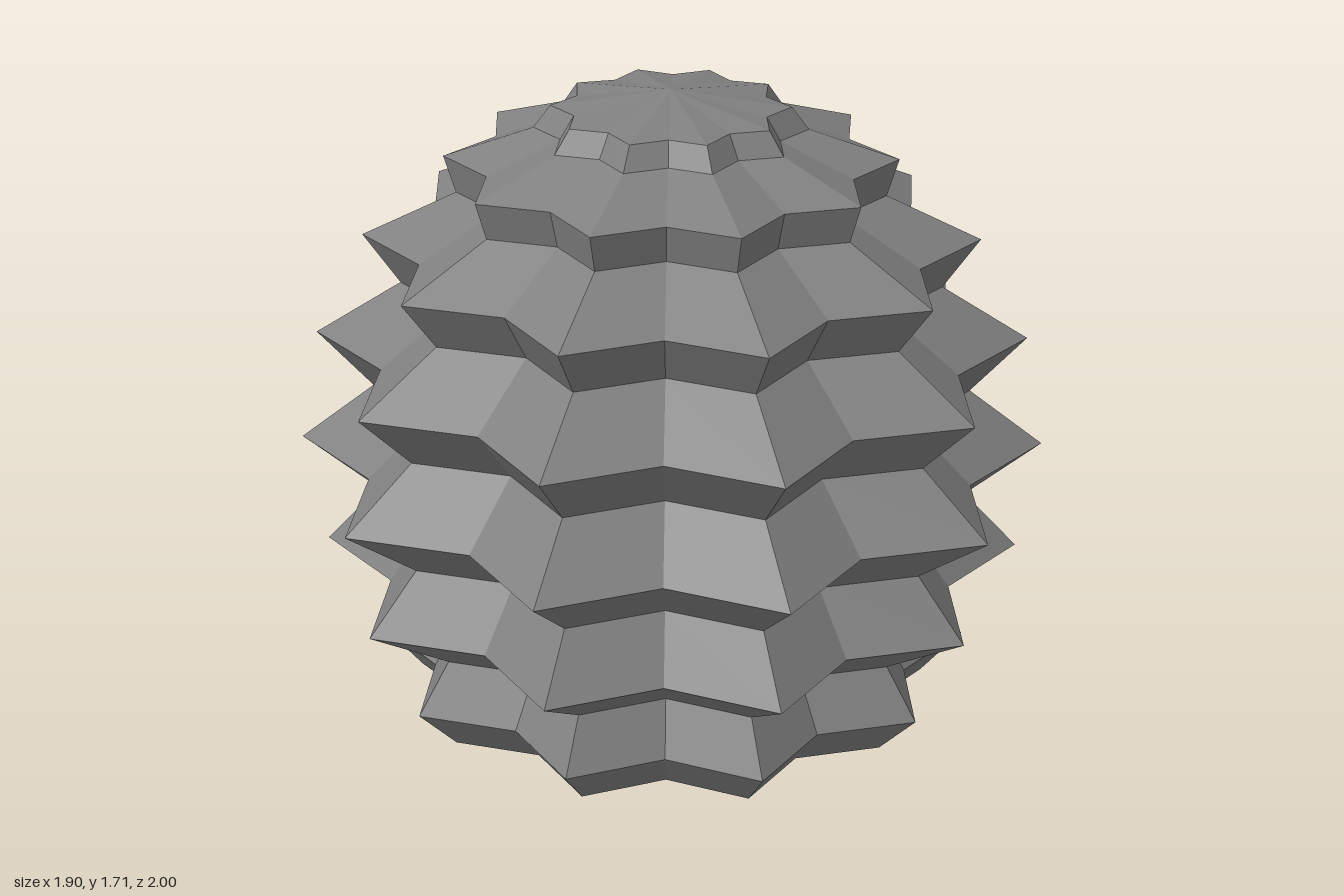
import * as THREE from 'three';

const POINTS = 10;   // tips of the star-shaped cross-section
const VALLEY = 0.83; // valley radius relative to tip radius

// [height, tip radius] of each ring, bottom to top
const RINGS = [
  [0, 0.70], [0.12, 0.81], [0.255, 0.715], [0.40, 0.945], [0.555, 0.80],
  [0.71, 1.0], [0.865, 0.80], [1.02, 0.945], [1.165, 0.715], [1.30, 0.81],
  [1.42, 0.56], [1.52, 0.59], [1.60, 0.355], [1.66, 0.31],
];
const APEX = 1.705;

// Star ring vertex; even indices are tips, the first tip faces +z
function ringPoint([y, r], i) {
  const a = (i * Math.PI) / POINTS;
  const rr = i % 2 ? r * VALLEY : r;
  return [Math.sin(a) * rr, y, Math.cos(a) * rr];
}

function makeMesh(name, positions, material) {
  const geometry = new THREE.BufferGeometry();
  geometry.setAttribute('position', new THREE.Float32BufferAttribute(positions, 3));
  geometry.computeVertexNormals(); // unshared corners give flat facets
  const mesh = new THREE.Mesh(geometry, material);
  mesh.name = name;
  return mesh;
}

export function createModel() {
  const group = new THREE.Group();
  group.name = 'pleatedDome';
  const grey = new THREE.MeshStandardMaterial({ color: 0x808080 });
  grey.name = 'grey';

  const body = [], crown = [], base = [];
  const first = RINGS[0], last = RINGS[RINGS.length - 1];
  for (let i = 0; i < POINTS * 2; i++) {
    // Pleated wall; the diagonal is mirrored on either side of each tip
    for (let k = 0; k < RINGS.length - 1; k++) {
      const a = ringPoint(RINGS[k], i), b = ringPoint(RINGS[k], i + 1);
      const c = ringPoint(RINGS[k + 1], i + 1), d = ringPoint(RINGS[k + 1], i);
      if (i % 2) body.push(...a, ...b, ...d, ...b, ...c, ...d);
      else body.push(...a, ...b, ...c, ...a, ...c, ...d);
    }
    // Shallow crown and flat underside
    crown.push(...ringPoint(last, i), ...ringPoint(last, i + 1), 0, APEX, 0);
    base.push(...ringPoint(first, i + 1), ...ringPoint(first, i), 0, 0, 0);
  }

  group.add(
    makeMesh('pleatedBody', body, grey),
    makeMesh('crown', crown, grey),
    makeMesh('base', base, grey),
  );
  return group;
}
